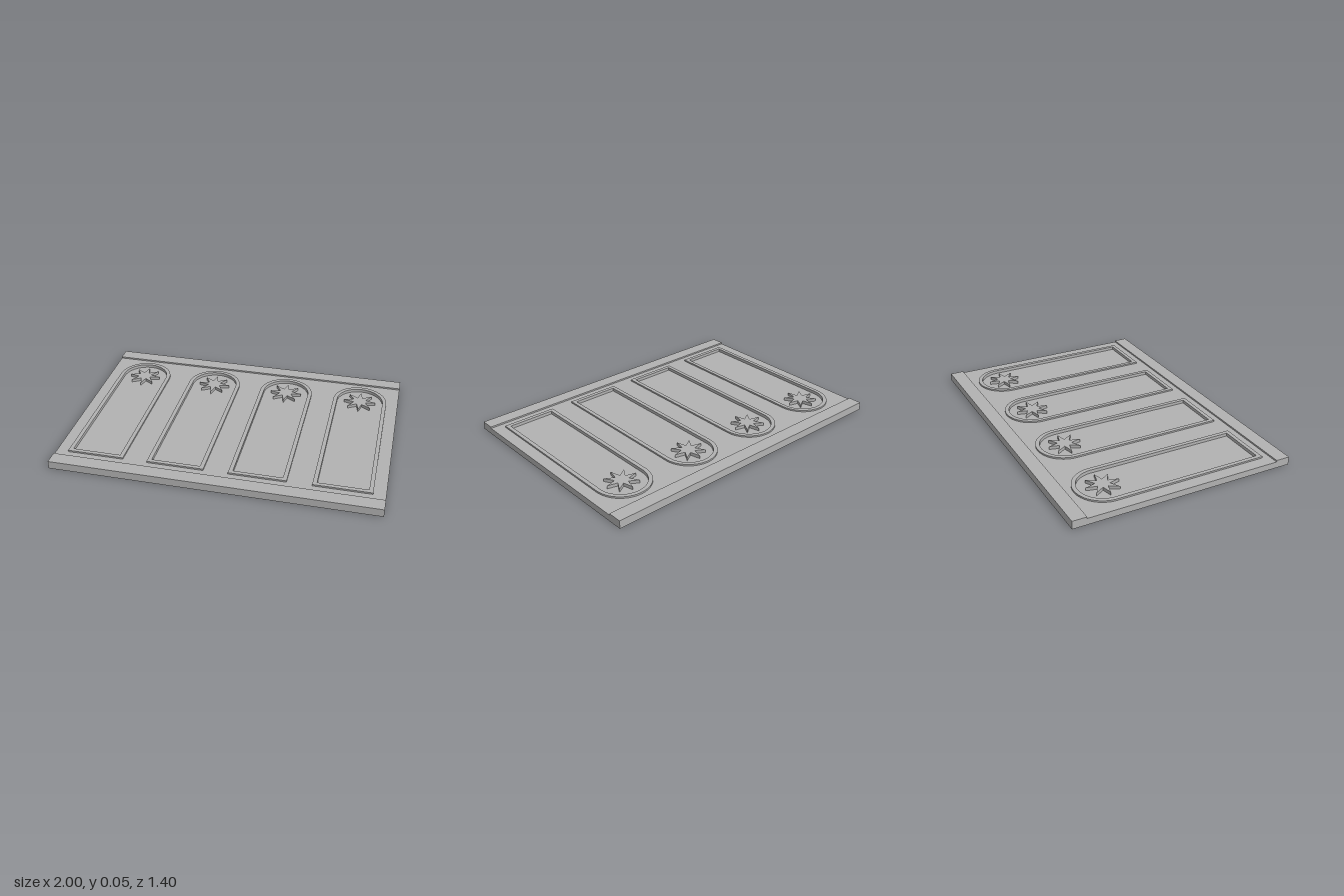
import * as THREE from 'three';

const FLOOR = 0.03, FACE = 0.04, TOP = 0.05;
const ARC_Z = -0.395, END_Z = 0.54, HALF_W = 0.15, RIM = 0.025;
const ARCH_X = [-0.75, -0.25, 0.25, 0.75];

// Outline of a round-headed panel; plan y is -z
function archPath(x, grow, Type) {
  const r = HALF_W + grow, p = new Type();
  p.moveTo(x - r, -END_Z - grow);
  p.lineTo(x + r, -END_Z - grow);
  p.lineTo(x + r, -ARC_Z);
  p.absarc(x, -ARC_Z, r, 0, Math.PI, false);
  p.closePath();
  return p;
}

// Eight-pointed star outline
function starShape(x) {
  const pts = [];
  for (let i = 0; i < 16; i++) {
    const r = i % 2 ? 0.042 : 0.103, a = Math.PI / 2 + i * Math.PI / 8;
    pts.push(new THREE.Vector2(x + r * Math.cos(a), -ARC_Z + r * Math.sin(a)));
  }
  return new THREE.Shape(pts);
}

export function createModel() {
  const group = new THREE.Group();
  const stone = new THREE.MeshStandardMaterial({ color: 0xb2b2b2 });
  stone.name = 'grey stone';

  const add = (name, geometry) => {
    const mesh = new THREE.Mesh(geometry, stone);
    mesh.name = name;
    group.add(mesh);
    return mesh;
  };
  // Extrude a plan outline upward between two heights
  const slab = (name, shape, y0, y1) => {
    const g = new THREE.ExtrudeGeometry(shape, { depth: y1 - y0, bevelEnabled: false, curveSegments: 32 });
    g.rotateX(-Math.PI / 2).translate(0, y0, 0);
    return add(name, g);
  };

  // Backing plate
  add('basePlate', new THREE.BoxGeometry(2, FLOOR, 1.4).translate(0, FLOOR / 2, 0));

  // Face layer pierced by the arched recesses
  const face = new THREE.Shape([[-1, -0.7], [1, -0.7], [1, 0.7], [-1, 0.7]].map(p => new THREE.Vector2(...p)));
  ARCH_X.forEach(x => face.holes.push(archPath(x, RIM, THREE.Path)));
  slab('faceLayer', face, FLOOR, FACE);

  // Raised bands along the front and back
  for (const s of [1, -1]) {
    const band = add(s > 0 ? 'frontBand' : 'backBand', new THREE.BoxGeometry(2, TOP - FACE, 0.088));
    band.position.set(0, (TOP + FACE) / 2, s * 0.656);
  }

  // Raised rim and star of each arched panel
  ARCH_X.forEach((x, i) => {
    const rim = archPath(x, RIM, THREE.Shape);
    rim.holes.push(archPath(x, 0, THREE.Path));
    slab('archRim' + (i + 1), rim, FLOOR, TOP);
    slab('star' + (i + 1), starShape(x), FLOOR, TOP);
  });
  return group;
}
